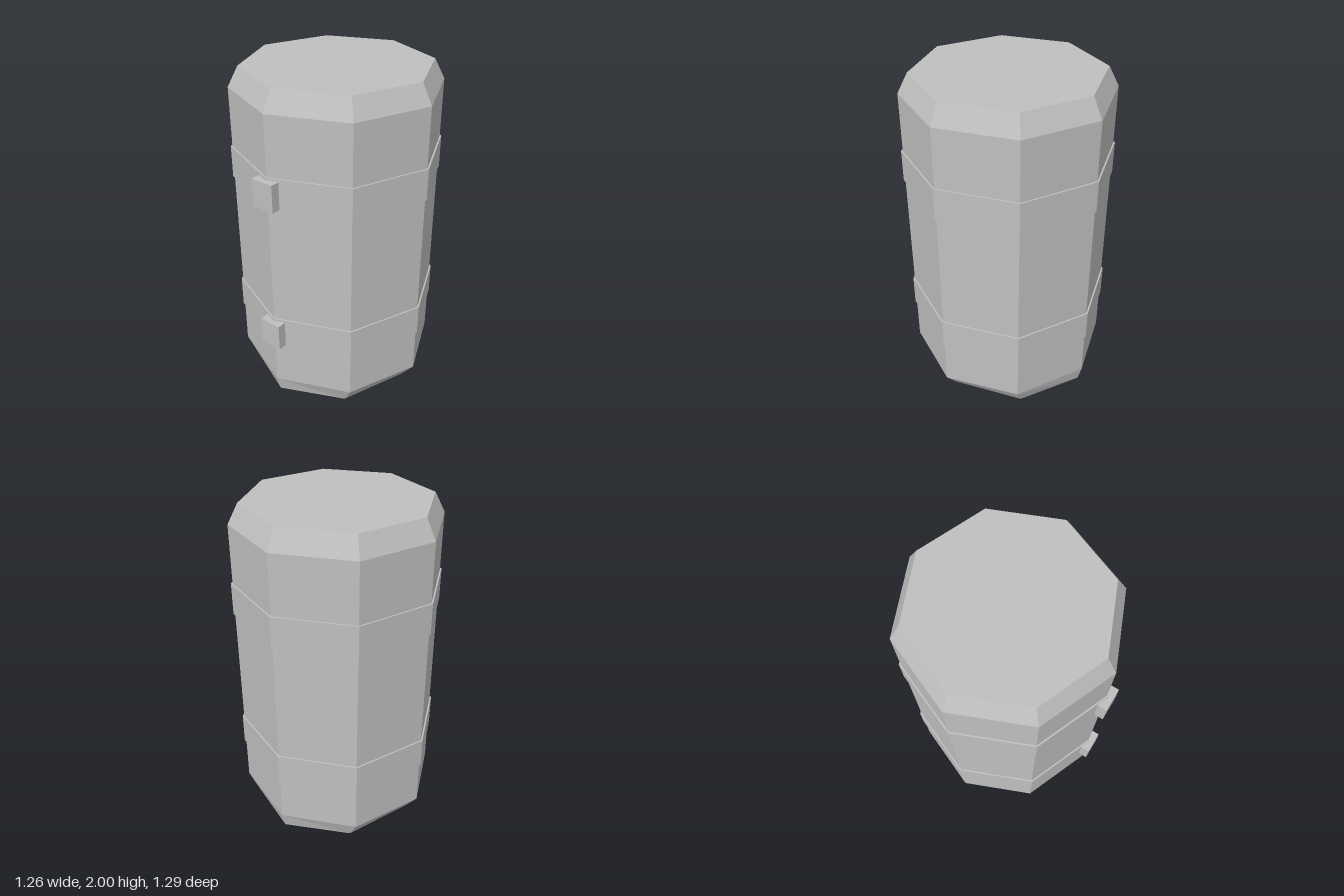
import * as THREE from 'three';

const SIDES = 8;
const CENTER_Z = -0.014;

// Split the corners so every facet is flat
function faceted(geometry) {
  const flat = geometry.toNonIndexed();
  flat.computeVertexNormals();
  return flat;
}

export function createModel() {
  const group = new THREE.Group();
  group.name = 'barrel';
  const gray = new THREE.MeshStandardMaterial({ color: 0xbfbfbf, flatShading: true });
  gray.name = 'gray';

  function add(name, geometry, y, z) {
    const mesh = new THREE.Mesh(faceted(geometry), gray);
    mesh.name = name;
    mesh.position.set(0, y, z);
    group.add(mesh);
  }

  // Octagonal body with bevelled ends, one corner facing front
  const profile = [[0, 0], [0.543, 0], [0.62, 0.1], [0.62, 1.88], [0.558, 2], [0, 2]]
    .map(([r, y]) => new THREE.Vector2(r, y));
  const body = new THREE.LatheGeometry(profile, SIDES);
  // The base is slightly longer from front to back
  const p = body.attributes.position;
  for (let i = 0; i < p.count; i++) {
    if (p.getY(i) === 0) p.setZ(i, p.getZ(i) * 1.095);
  }
  add('body', body, 0, CENTER_Z);

  // Two bands, each with a clasp on the front corner
  for (const [label, y] of [['lower', 0.484], ['upper', 1.425]]) {
    add(label + 'Band', new THREE.CylinderGeometry(0.63, 0.63, 0.196, SIDES), y, CENTER_Z);
    add(label + 'Clasp', new THREE.BoxGeometry(0.14, 0.168, 0.055), y, 0.6175);
  }

  return group;
}
